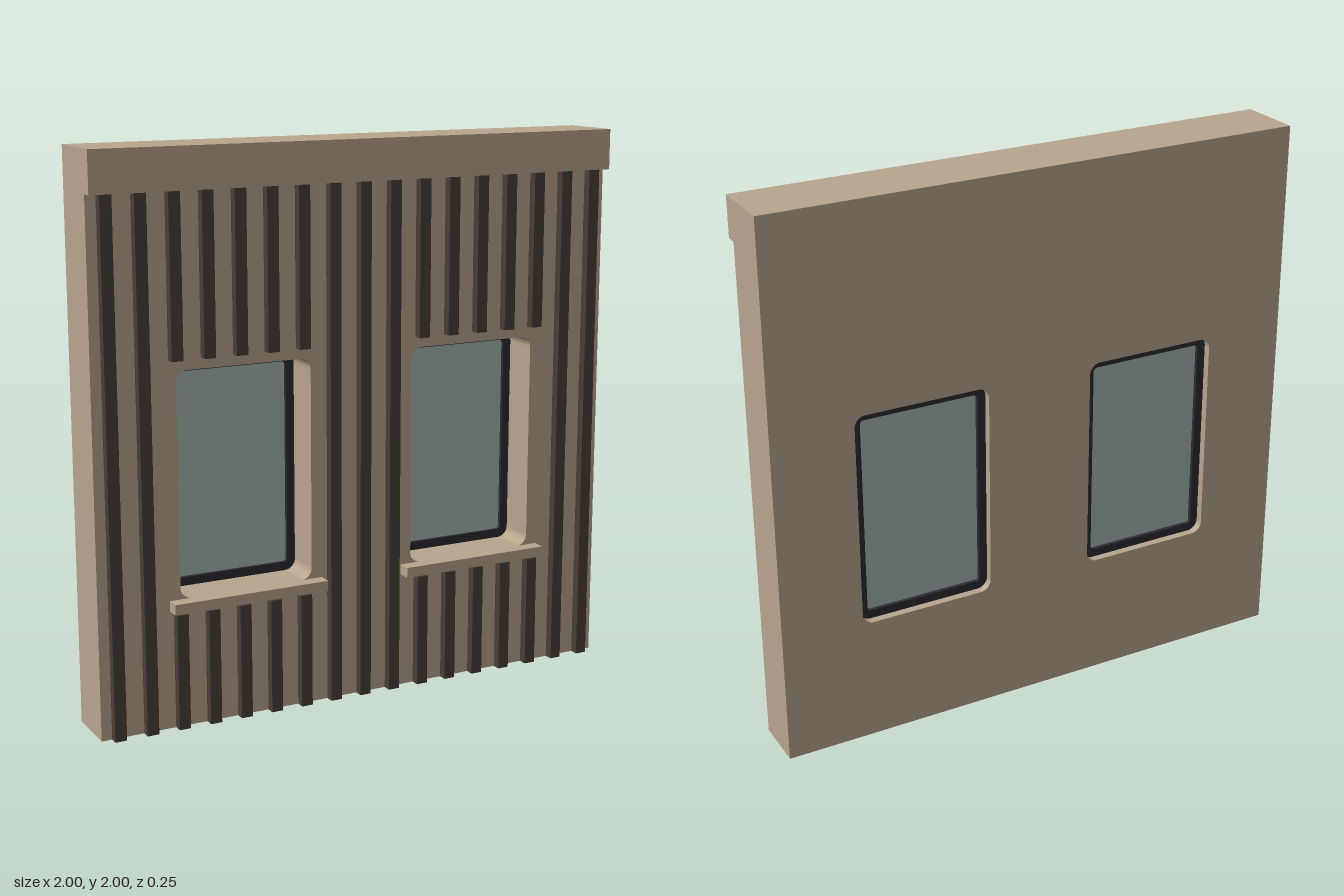
import * as THREE from 'three';

const wallMat = new THREE.MeshStandardMaterial({ name: 'sand wall', color: 0xb8a58e });
const slatMat = new THREE.MeshStandardMaterial({ name: 'dark timber', color: 0x483e37 });
const frameMat = new THREE.MeshStandardMaterial({ name: 'charcoal frame', color: 0x2b2b32 });
const glassMat = new THREE.MeshStandardMaterial({ name: 'pale glass', color: 0xa4b6b2 });

const BACK = -0.125, FRONT = 0.075;      // wall faces
const WIN = { x: 0.45, w: 0.5, y0: 0.46, y1: 1.255, r: 0.04, frame: 0.031 };

// Traces a rounded rectangle onto a Shape or Path
function roundedRect(path, x0, y0, x1, y1, r) {
  path.moveTo(x0 + r, y0);
  path.lineTo(x1 - r, y0);
  path.absarc(x1 - r, y0 + r, r, -Math.PI / 2, 0);
  path.lineTo(x1, y1 - r);
  path.absarc(x1 - r, y1 - r, r, 0, Math.PI / 2);
  path.lineTo(x0 + r, y1);
  path.absarc(x0 + r, y1 - r, r, Math.PI / 2, Math.PI);
  path.lineTo(x0, y0 + r);
  path.absarc(x0 + r, y0 + r, r, Math.PI, Math.PI * 1.5);
  return path;
}

function windowOutline(path, cx, inset, r) {
  const h = WIN.w / 2 - inset;
  return roundedRect(path, cx - h, WIN.y0 + inset, cx + h, WIN.y1 - inset, r);
}

function addExtrusion(parent, name, shape, z0, z1, mat) {
  const geo = new THREE.ExtrudeGeometry(shape, { depth: z1 - z0, bevelEnabled: false, curveSegments: 8 });
  geo.translate(0, 0, z0);
  const mesh = new THREE.Mesh(geo, mat);
  mesh.name = name;
  parent.add(mesh);
}

function addBox(parent, name, [x0, x1], [y0, y1], [z0, z1], mat) {
  const mesh = new THREE.Mesh(new THREE.BoxGeometry(x1 - x0, y1 - y0, z1 - z0), mat);
  mesh.position.set((x0 + x1) / 2, (y0 + y1) / 2, (z0 + z1) / 2);
  mesh.name = name;
  parent.add(mesh);
}

export function createModel() {
  const model = new THREE.Group();
  model.name = 'facadePanel';

  // Wall with two window openings
  const wall = new THREE.Shape([[-1, 0], [1, 0], [1, 2], [-1, 2]].map(p => new THREE.Vector2(...p)));
  for (const s of [-1, 1]) wall.holes.push(windowOutline(new THREE.Path(), s * WIN.x, 0, WIN.r));
  addExtrusion(model, 'wall', wall, BACK, FRONT, wallMat);

  // Overhanging band along the top
  addBox(model, 'cornice', [-1, 1], [1.855, 2], [FRONT, 0.115], wallMat);

  // Windows: recessed frame, glass and projecting sill
  for (const s of [-1, 1]) {
    const win = new THREE.Group();
    win.name = s > 0 ? 'leftWindow' : 'rightWindow';
    const cx = s * WIN.x;
    const frame = windowOutline(new THREE.Shape(), cx, 0, WIN.r);
    frame.holes.push(windowOutline(new THREE.Path(), cx, WIN.frame, 0.014));
    addExtrusion(win, 'windowFrame', frame, -0.097, -0.06, frameMat);
    addExtrusion(win, 'glass', windowOutline(new THREE.Shape(), cx, WIN.frame - 0.004, 0.014), -0.083, -0.073, glassMat);
    addBox(win, 'sill', [cx - 0.29, cx + 0.29], [0.423, 0.46], [FRONT, 0.125], wallMat);
    model.add(win);
  }

  // Vertical slats, interrupted above and below the windows
  const slats = new THREE.Group();
  slats.name = 'slats';
  for (let i = -8; i <= 8; i++) {
    const x = i * 2 / 17, n = Math.abs(i);
    const runs = n >= 2 && n <= 6 ? [[0, 0.413], [1.293, 1.855]] : [[0, 1.855]];
    for (const run of runs) addBox(slats, 'slat', [x - 0.021, x + 0.021], run, [FRONT, 0.107], slatMat);
  }
  model.add(slats);
  return model;
}
